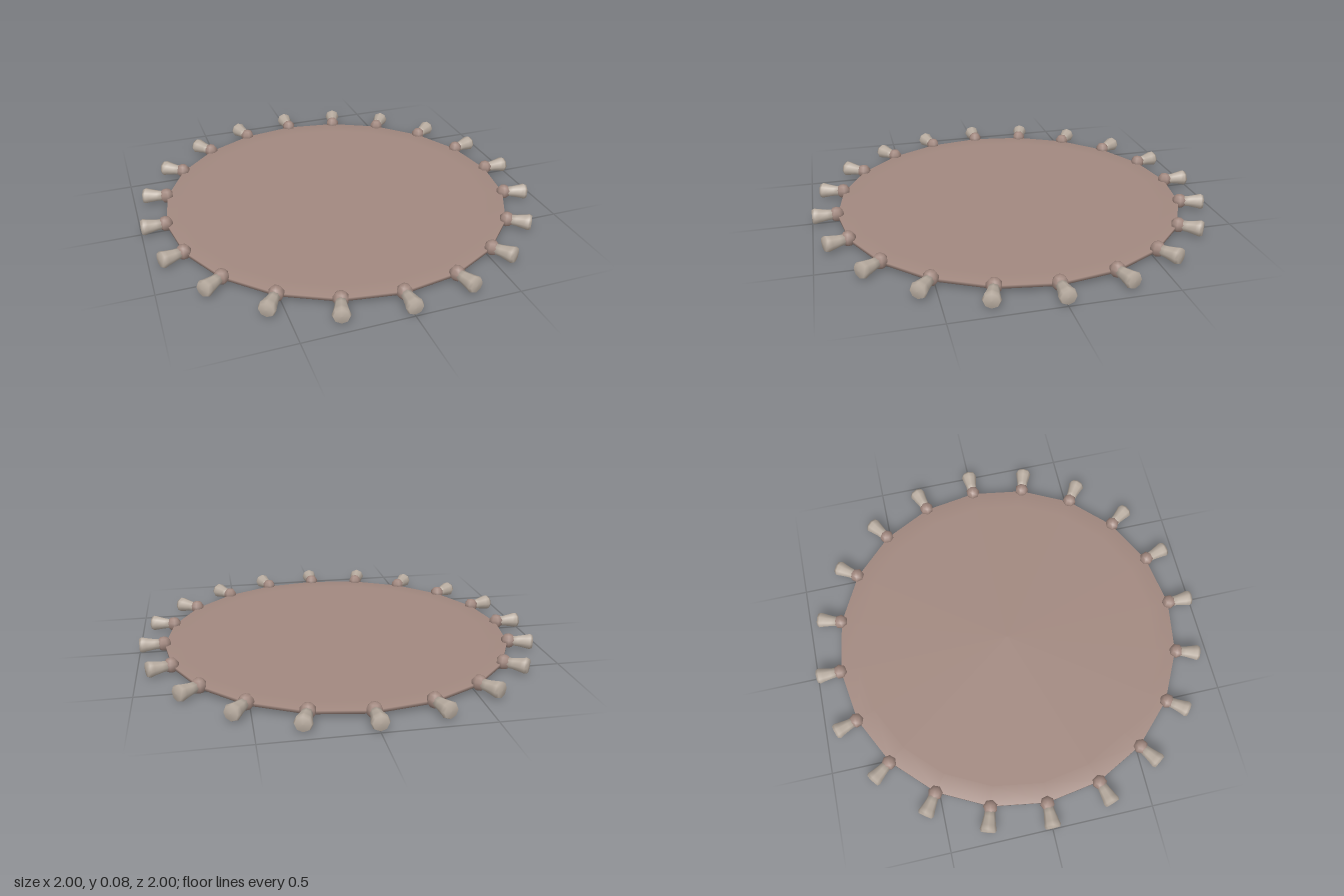
import * as THREE from 'three';

export function createModel() {
  const COUNT = 20, RIM = 0.88, MID_Y = 0.05;
  const clay = new THREE.MeshStandardMaterial({ color: 0xa1887f });
  clay.name = 'warm brown';
  const stone = new THREE.MeshStandardMaterial({ color: 0xb8aca0 });
  stone.name = 'pale beige';

  const model = new THREE.Group();
  model.name = 'peggedDisc';
  const profile = (pts) => pts.map(([r, y]) => new THREE.Vector2(r, y));

  // Thin twenty-sided plate, shaded softly towards its rim
  const plate = new THREE.Mesh(new THREE.LatheGeometry(profile([
    [0, 0.03], [0.78, 0.03], [RIM - 0.005, 0.03], [RIM - 0.005, 0.046], [0.78, 0.046], [0, 0.046],
  ]), COUNT), clay);
  plate.name = 'plate';
  model.add(plate);

  // Flared peg, turned to point outwards along +z
  const pegGeometry = new THREE.LatheGeometry(profile([
    [0, 0.89], [0.025, 0.89], [0.028, 0.925], [0.036, 0.965], [0.041, 0.985], [0.035, 0.998], [0, 1],
  ]), 8);
  pegGeometry.rotateX(Math.PI / 2);

  // Low-sided knob at each corner of the plate
  const knobGeometry = new THREE.SphereGeometry(0.037, 7, 5);

  for (let i = 0; i < COUNT; i++) {
    const spoke = new THREE.Group();
    spoke.name = 'rimPeg' + (i + 1);
    const knob = new THREE.Mesh(knobGeometry, clay);
    knob.name = 'knob';
    knob.position.z = RIM;
    const peg = new THREE.Mesh(pegGeometry, stone);
    peg.name = 'peg';
    spoke.add(knob, peg);
    spoke.position.y = MID_Y;
    spoke.rotation.y = (i / COUNT) * Math.PI * 2;
    model.add(spoke);
  }
  return model;
}
